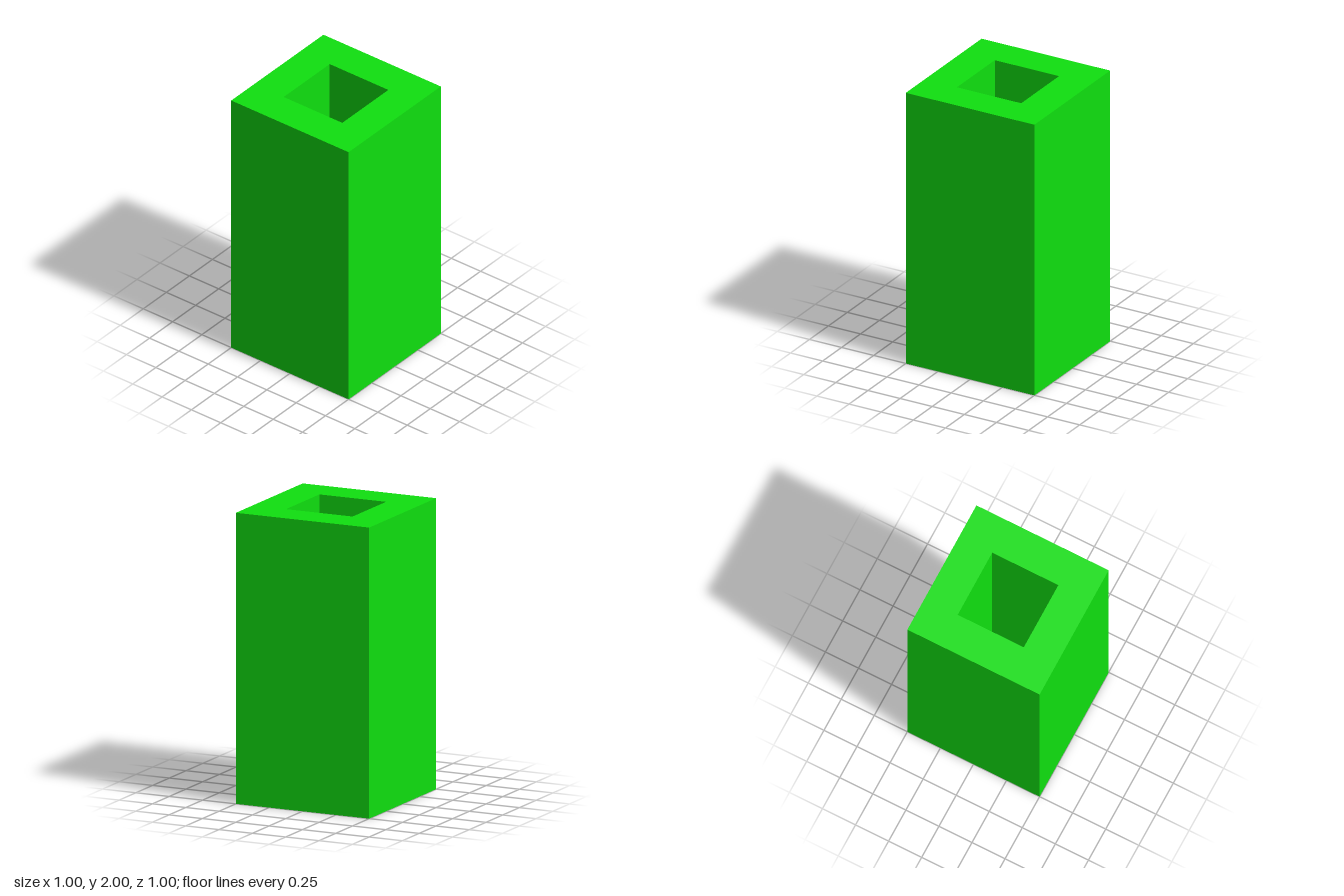
import * as THREE from 'three';

const HEIGHT = 2;
const OUTER = 0.5; // half width of the tube
const INNER = 0.25; // half width of the shaft

// Corners of a square centred on the origin, counter-clockwise
const square = (h) => [[-h, -h], [h, -h], [h, h], [-h, h]].map(([x, y]) => new THREE.Vector2(x, y));

export function createModel() {
  const group = new THREE.Group();
  group.name = 'squareTube';

  // Square outline with a square shaft running right through
  const outline = new THREE.Shape(square(OUTER));
  outline.holes.push(new THREE.Path(square(INNER).reverse()));

  // Extruded along z, then stood upright on y = 0
  const geometry = new THREE.ExtrudeGeometry(outline, { depth: HEIGHT, bevelEnabled: false });
  geometry.rotateX(-Math.PI / 2);

  const tube = new THREE.Mesh(geometry, new THREE.MeshStandardMaterial({ color: 0x10e010 }));
  tube.name = 'tubeWalls';
  group.add(tube);
  return group;
}
